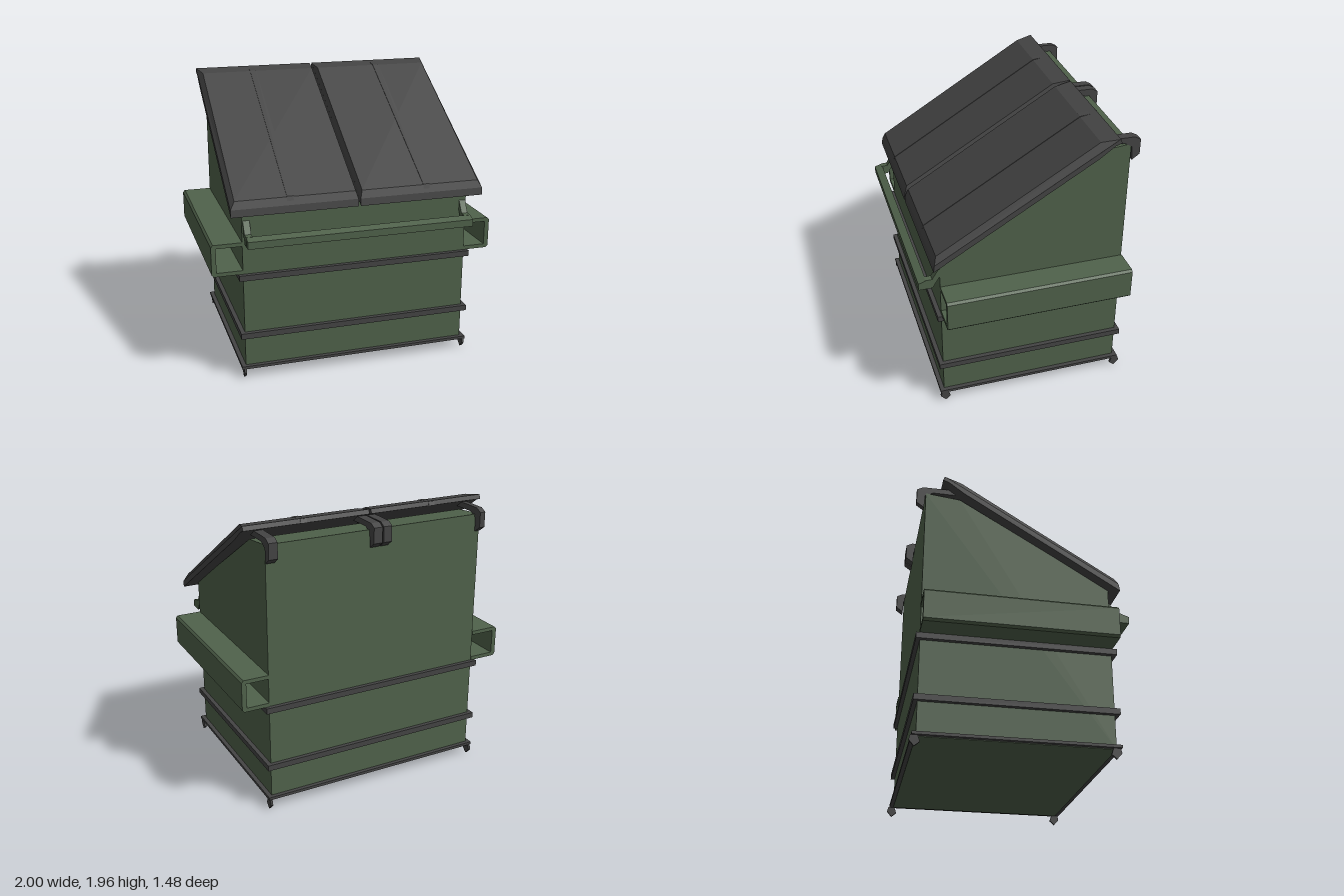
import * as THREE from 'three';

const green = new THREE.MeshStandardMaterial({ color: 0x50624b, flatShading: true });
const dark = new THREE.MeshStandardMaterial({ color: 0x444444, flatShading: true });

const shapeOf = pts => new THREE.Shape(pts.map(p => new THREE.Vector2(p[0], p[1])));
const extrude = (shape, depth) => new THREE.ExtrudeGeometry(shape, { depth, bevelEnabled: false });

// Side profile given as [z, y] points, extruded from x0 to x1
function prism(pts, x0, x1) {
  return extrude(shapeOf(pts), x1 - x0).rotateY(-Math.PI / 2).translate(x1, 0, 0);
}

function box(x0, x1, y0, y1, z0, z1) {
  return new THREE.BoxGeometry(x1 - x0, y1 - y0, z1 - z0)
    .translate((x0 + x1) / 2, (y0 + y1) / 2, (z0 + z1) / 2);
}

// Solid between two four-cornered loops, both counterclockwise seen from above
function loft(lower, upper) {
  const pos = [...lower, ...upper].flat();
  const index = [4, 5, 6, 4, 6, 7, 0, 2, 1, 0, 3, 2];
  for (let i = 0; i < 4; i++) {
    const j = (i + 1) % 4;
    index.push(i, j, j + 4, i, j + 4, i + 4);
  }
  const g = new THREE.BufferGeometry();
  g.setAttribute('position', new THREE.Float32BufferAttribute(pos, 3));
  g.setIndex(index);
  const flat = g.toNonIndexed();
  flat.computeVertexNormals();
  return flat;
}

export function createModel() {
  const model = new THREE.Group();
  model.name = 'wasteContainer';
  const add = (name, geometry, material, parent = model) => {
    const mesh = new THREE.Mesh(geometry, material);
    mesh.name = name;
    parent.add(mesh);
    return mesh;
  };

  // Sloped container body
  add('body', prism([[0.6, 0.068], [0.6, 1.23], [-0.44, 1.835], [-0.68, 1.86], [-0.68, 0.068]], -0.79, 0.81), green);

  // Reinforcing bands around the body
  [[0.072, 0.092], [0.3, 0.34], [0.725, 0.765]].forEach(([y0, y1], i) =>
    add('band' + (i + 1), box(-0.82, 0.84, y0, y1, -0.708, 0.63), dark));

  // Feet at the four corners
  const foot = [[0.025, 0.075], [0.035, 0.04], [0, 0], [-0.035, 0.03], [-0.02, 0.075]];
  for (const x of [-0.806, 0.82])
    for (const [z, s] of [[0.595, 1], [-0.69, -1]])
      add('foot', prism(foot.map(p => [z + s * p[0], p[1]]), x, x + 0.016), dark);

  // Fork pockets: open channels closed by the body wall
  for (const [name, s, wall] of [['rightForkPocket', -1, 0.79], ['leftForkPocket', 1, 0.81]]) {
    const outline = [
      [wall, 0.765], [0.985, 0.765], [1, 0.78], [1, 0.975], [0.985, 0.99], [wall, 0.99],
      [wall, 0.963], [0.967, 0.963], [0.967, 0.792], [wall, 0.792]
    ].map(([x, y]) => [s * x, y]);
    add(name, extrude(shapeOf(outline), 1.285).translate(0, 0, -0.685), green);
  }

  // Front handle: bar on two bent arms
  const handle = new THREE.Group();
  handle.name = 'frontHandle';
  model.add(handle);
  const bar = [[0.69, 0.99], [0.743, 0.99], [0.743, 1.04], [0.69, 1.058]];
  add('handleBar', prism(bar, -0.78, 0.805), green, handle);
  const arm = [[0.6, 1.07], [0.65, 0.99], [0.695, 0.99], [0.695, 1.058], [0.65, 1.06], [0.6, 1.14]];
  for (const x of [-0.782, 0.76])
    add('handleArm', prism(arm, x, x + 0.045), green, handle);

  // Two lids, each a sloped tray with a raised panel and a centre rib
  const tray = [[0.66, 1.187], [0.653, 1.237], [-0.56, 1.96], [-0.572, 1.93], [-0.53, 1.915], [-0.42, 1.835]];
  const rib = [[0.632, 1.215], [0.648, 1.25], [0.635, 1.294], [-0.44, 1.944], [-0.565, 1.956],
    [-0.577, 1.93], [-0.54, 1.925], [-0.44, 1.875]];
  const lids = [
    { name: 'rightLid', x0: -0.87, x1: 0, in0: 0.03, in1: 0.015, ribX: -0.49 },
    { name: 'leftLid', x0: 0.015, x1: 0.905, in0: 0.015, in1: 0.03, ribX: 0.47 }
  ];
  for (const { name, x0, x1, in0, in1, ribX } of lids) {
    const lid = new THREE.Group();
    lid.name = name;
    model.add(lid);
    add('lidTray', prism(tray, x0, x1), dark, lid);
    const a = x0 + in0, b = x1 - in1;
    add('lidPanel', loft(
      [[x0, 1.237, 0.653], [x1, 1.237, 0.653], [x1, 1.958, -0.558], [x0, 1.958, -0.558]],
      [[a, 1.29, 0.635], [b, 1.29, 0.635], [b, 1.94, -0.44], [a, 1.94, -0.44]]
    ), dark, lid);
    add('lidRib', prism(rib, ribX, ribX + 0.045), dark, lid);
  }

  // Hinge straps hooked over the back edge
  const strap = [[-0.45, 1.87], [-0.5, 1.91], [-0.7, 1.908], [-0.742, 1.885], [-0.742, 1.78],
    [-0.69, 1.742], [-0.685, 1.84], [-0.63, 1.87]];
  for (const [x0, x1] of [[-0.79, -0.75], [-0.055, 0.005], [0.015, 0.078], [0.752, 0.813]])
    add('hingeStrap', prism(strap, x0, x1), dark);

  return model;
}
